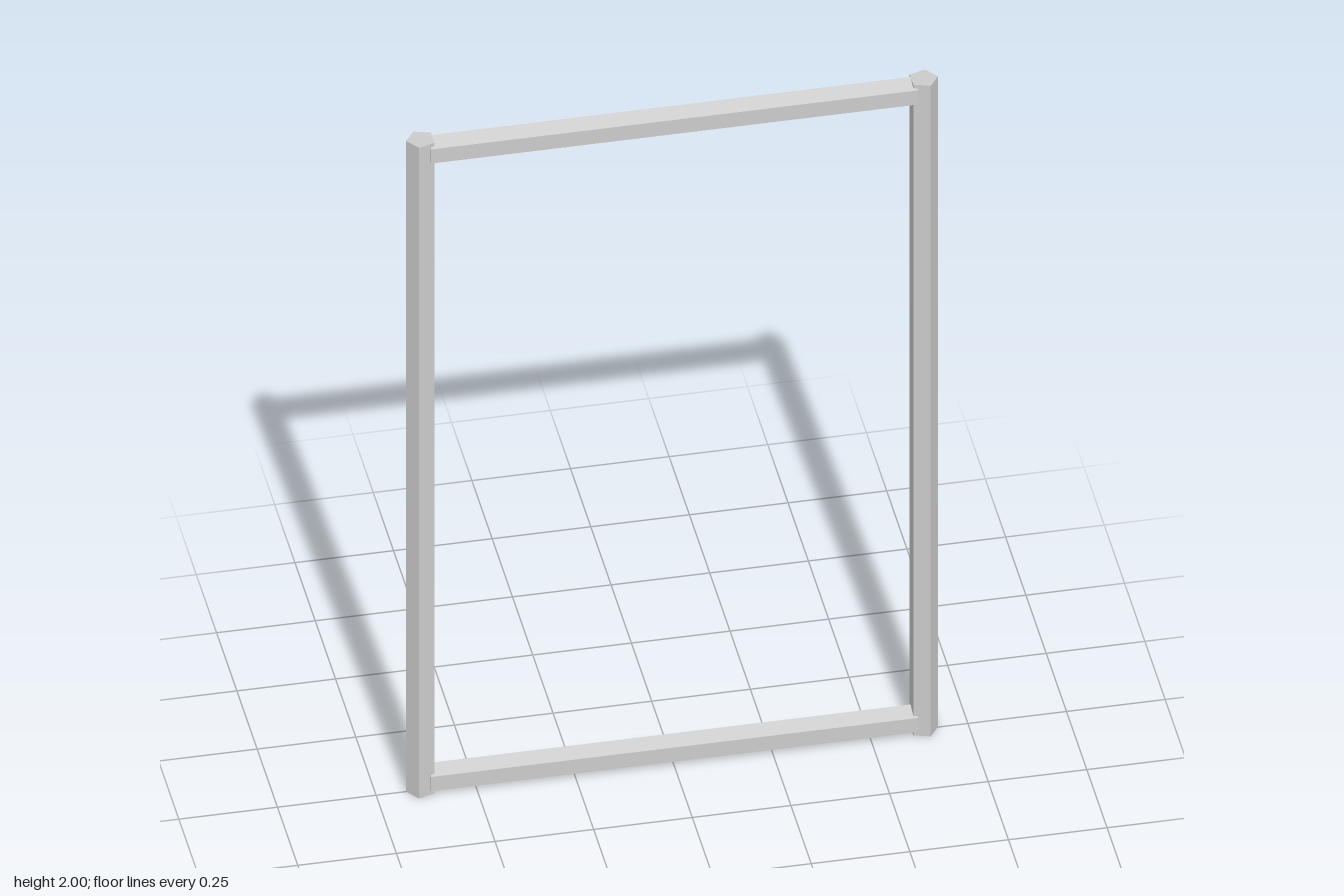
import * as THREE from 'three';

const RADIUS = 0.037;

export function createModel() {
  const group = new THREE.Group();
  const material = new THREE.MeshStandardMaterial({ color: 0xcccccc, flatShading: true });

  // Five-sided bar along y; ridgeAngle turns its ridge (0 = +z, PI/2 = +x)
  const bar = (name, length, ridgeAngle) => {
    const geometry = new THREE.CylinderGeometry(RADIUS, RADIUS, length, 5, 1, false, ridgeAngle);
    const mesh = new THREE.Mesh(geometry, material);
    mesh.name = name;
    group.add(mesh);
    return mesh;
  };

  // Upright posts, ridges facing outward
  for (const [name, side] of [['leftPost', 1], ['rightPost', -1]]) {
    bar(name, 2, side * Math.PI / 2).position.set(side * 0.637, 1, 0);
  }

  // Horizontal rails, ridges facing back
  for (const [name, y] of [['topRail', 1.965], ['bottomRail', 0.036]]) {
    const rail = bar(name, 1.236, Math.PI);
    rail.rotation.z = Math.PI / 2;
    rail.position.y = y;
  }

  return group;
}
